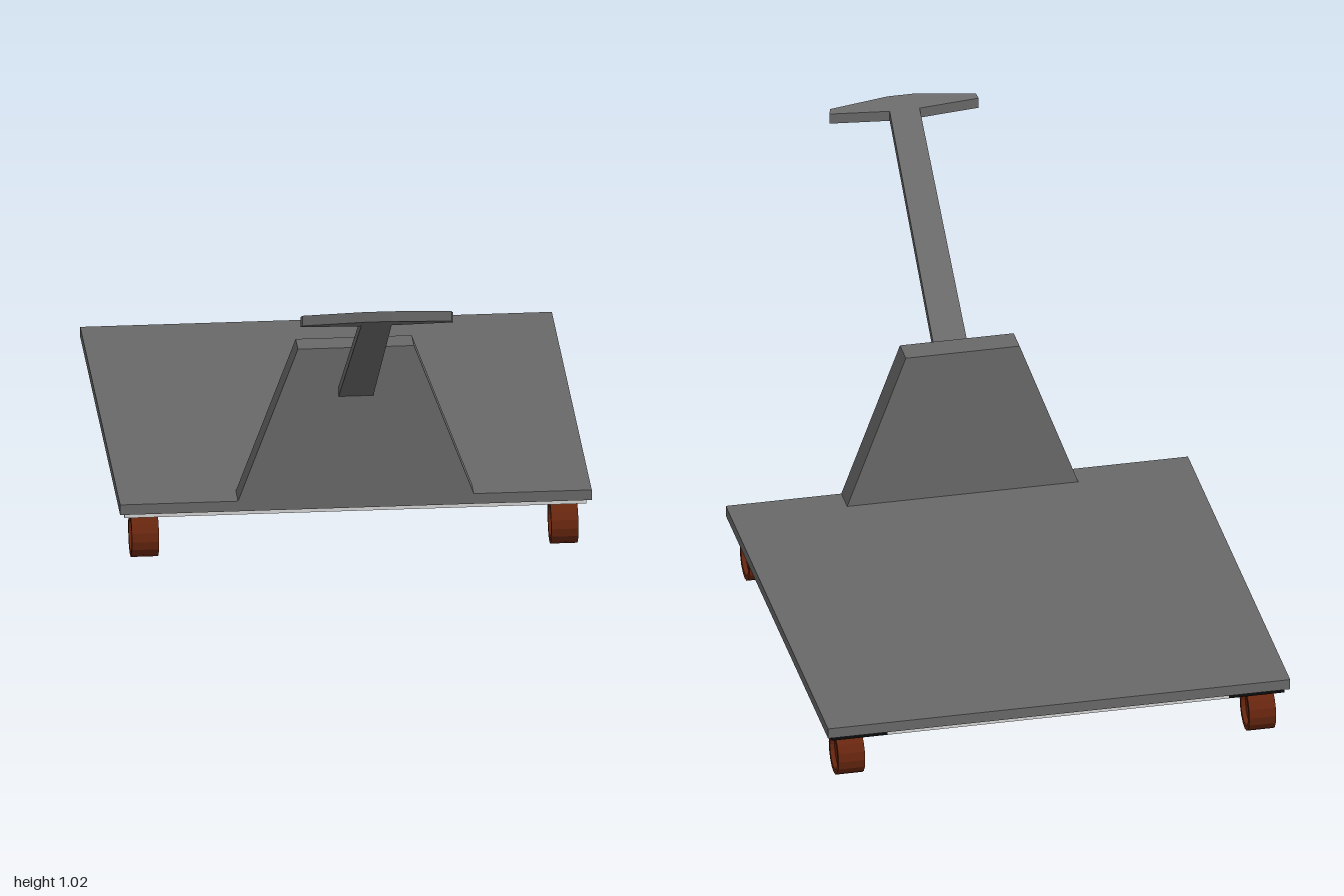
import * as THREE from 'three';

const material = (name, color) => {
  const m = new THREE.MeshStandardMaterial({ color, flatShading: true });
  m.name = name;
  return m;
};

export function createModel() {
  const grey = material('grey', 0x686868);
  const lightGrey = material('light grey', 0xd2d2d2);
  const paleRed = material('pale red', 0xc88080);
  const red = material('red', 0xc82a2a);
  const darkBrown = material('dark brown', 0x4a1a0e);
  const black = material('black', 0x0c0c0c);
  const wheelBrown = material('wheel brown', 0x66250e);

  const model = new THREE.Group();
  model.name = 'platformTrolley';

  const add = (name, geometry, mat, x = 0, y = 0, z = 0) => {
    const mesh = new THREE.Mesh(geometry, mat);
    mesh.name = name;
    mesh.position.set(x, y, z);
    model.add(mesh);
    return mesh;
  };
  // box given by its limits on each axis
  const box = (name, mat, x0, x1, y0, y1, z0, z1) =>
    add(name, new THREE.BoxGeometry(x1 - x0, y1 - y0, z1 - z0), mat,
      (x0 + x1) / 2, (y0 + y1) / 2, (z0 + z1) / 2);
  const polygon = (points) => new THREE.Shape(points.map(([x, y]) => new THREE.Vector2(x, y)));

  // Deck
  box('deck', grey, -0.65, 0.65, 0.155, 0.185, -1, 0.3);

  // Frame under the deck: cross rails in front and back, banded side rails
  const outer = 0.637, inner = 0.48, y0 = 0.14, y1 = 0.155;
  box('frontRail', lightGrey, -inner, inner, y0, y1, 0.125, 0.287);
  box('backRail', lightGrey, -inner, inner, y0, y1, -0.988, -0.83);
  const bands = [
    [lightGrey, 0.287, 0.1], [paleRed, 0.1, -0.04], [red, -0.04, -0.56],
    [darkBrown, -0.56, -0.8], [black, -0.8, -0.988],
  ];
  for (const side of [-1, 1]) {
    for (const [mat, front, back] of bands) {
      const a = side * inner, b = side * outer;
      box('sideRail', mat, Math.min(a, b), Math.max(a, b), y0, y1, back, front);
    }
  }

  // Castors: wheel with recessed faces, and a short swivel post
  const wheelProfile = [[0, -0.025], [0.045, -0.025], [0.048, -0.0375], [0.0625, -0.0375],
    [0.0625, 0.0375], [0.048, 0.0375], [0.045, 0.025], [0, 0.025]]
    .map(([r, h]) => new THREE.Vector2(r, h));
  const wheel = new THREE.LatheGeometry(wheelProfile, 16).rotateZ(Math.PI / 2);
  const post = new THREE.CylinderGeometry(0.021, 0.021, 0.03, 12);
  for (const x of [-0.578, 0.578]) {
    for (const z of [0.215, -0.915]) {
      add('wheel', wheel, wheelBrown, x, 0.0625, z);
      add('swivelPost', post, black, x, 0.13, z);
    }
  }

  // Upright tapered panel
  const panel = polygon([[-0.325, 0.185], [0.325, 0.185], [0.16, 0.63], [-0.16, 0.63]]);
  add('uprightPanel', new THREE.ExtrudeGeometry(panel, { depth: 0.075, bevelEnabled: false }),
    grey, 0, 0, 0.225);

  // Sloping plate: plan outline of x and z, sheared upwards towards the front
  const slopingPlate = (name, outline) => {
    const shape = polygon(outline.map(([x, z]) => [x, -z]));
    const geometry = new THREE.ExtrudeGeometry(shape, { depth: 0.03, bevelEnabled: false });
    geometry.rotateX(-Math.PI / 2);
    const p = geometry.attributes.position;
    for (let i = 0; i < p.count; i++) p.setY(i, p.getY(i) + 0.99 + 0.72 * (p.getZ(i) - 1));
    geometry.computeVertexNormals();
    add(name, geometry, grey);
  };
  slopingPlate('handleBar', [[-0.048, 0.295], [0.048, 0.295], [0.042, 0.968], [-0.042, 0.968]]);
  slopingPlate('handleGrip', [[-0.21, 0.972], [-0.04, 0.963], [0.04, 0.963], [0.21, 0.972],
    [0.205, 0.984], [0.04, 1], [-0.04, 1], [-0.205, 0.984]]);

  return model;
}
